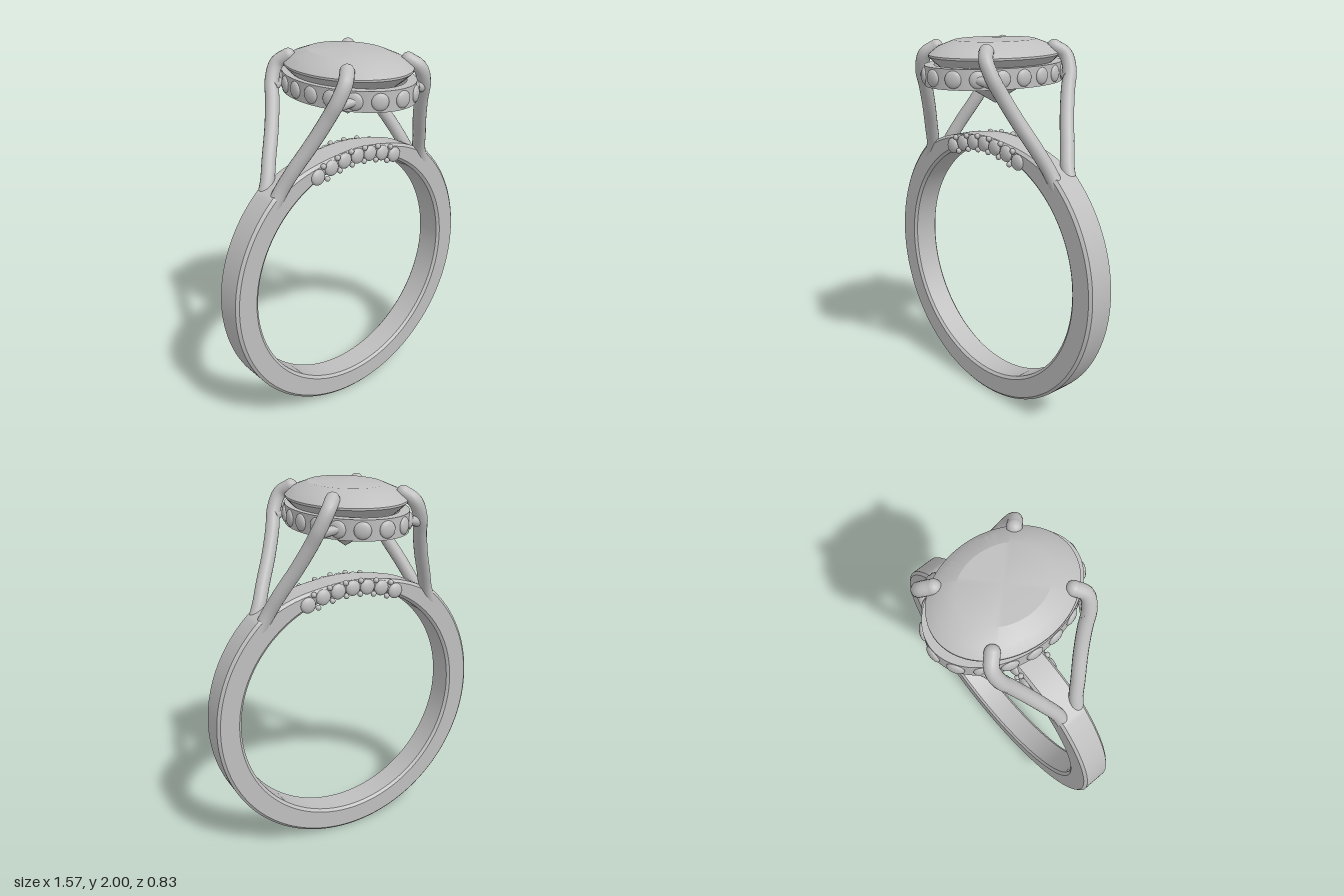
import * as THREE from 'three';
import { toCreasedNormals } from 'three/addons/utils/BufferGeometryUtils.js';

const metal = new THREE.MeshStandardMaterial({ color: 0xbfbfbf });
metal.name = 'silver grey';

const BAND_Y = 0.785;   // centre of the finger hole
const RX = 0.285, RZ = 0.4;   // halo half sizes

export function createModel() {
  const root = new THREE.Group();
  root.name = 'ring';

  const add = (parent, name, geometry, x = 0, y = 0, z = 0) => {
    const mesh = new THREE.Mesh(geometry, metal);
    mesh.name = name;
    mesh.position.set(x, y, z);
    parent.add(mesh);
    return mesh;
  };
  const group = (name) => {
    const g = new THREE.Group();
    g.name = name;
    root.add(g);
    return g;
  };

  // Band: round hoop with bevelled edges and a flatter bridge across the top
  const a = THREE.MathUtils.degToRad(47.5);
  const outline = new THREE.Shape();
  outline.absarc(0, 0, 0.77, a, Math.PI - a, true);
  outline.splineThru([[-0.36, 0.643], [-0.2, 0.682], [0, 0.702], [0.2, 0.682], [0.36, 0.643],
    [0.77 * Math.cos(a), 0.77 * Math.sin(a)]].map(([x, y]) => new THREE.Vector2(x, y)));
  const hole = new THREE.Path();
  hole.absarc(0, 0, 0.667, 0, Math.PI * 2, false);
  outline.holes.push(hole);
  const band = new THREE.ExtrudeGeometry(outline, {
    depth: 0.134, curveSegments: 80, bevelSize: 0.015, bevelThickness: 0.013, bevelSegments: 1,
  });
  band.translate(0, 0, -0.067);
  add(root, 'band', toCreasedNormals(band, 0.4), 0, BAND_Y, 0);

  // Small stones and beads set along both faces of the bridge
  const pave = group('bridgeStones');
  const stone = new THREE.SphereGeometry(0.042, 20, 12);
  const bead = new THREE.SphereGeometry(0.015, 10, 8);
  const arcY = (x) => 1.463 - 0.78 * x * x;
  for (const s of [-1, 1]) {
    for (let i = -3; i <= 3; i++) {
      const x = i * 0.087;
      add(pave, 'bridgeStone', stone, x, arcY(x), s * 0.08).scale.z = 0.5;
    }
    for (let i = -2.5; i <= 2.5; i++) {
      const x = i * 0.087;
      const tilt = 1.56 * x;
      for (const d of [-0.036, 0.036]) {
        add(pave, 'bridgeBead', bead, x + d * tilt, arcY(x) + d, s * 0.085);
      }
    }
  }

  // Large oval stone: pointed below, thin girdle, low crown with a flat top
  const profile = [[0, 1.67], [0.5, 1.775], [0.92, 1.89], [1, 1.917], [1, 1.927],
    [0.86, 1.965], [0.62, 1.995], [0, 2]].map(([r, y]) => new THREE.Vector2(r, y));
  const gem = new THREE.LatheGeometry(profile, 64);
  gem.scale(0.29, 1, 0.368);
  add(root, 'centreStone', toCreasedNormals(gem, 0.35));

  // Oval halo under the centre stone
  const halo = new THREE.Shape();
  halo.absellipse(0, 0, RX, RZ, 0, Math.PI * 2, false);
  const opening = new THREE.Path();
  opening.absellipse(0, 0, RX - 0.05, RZ - 0.05, 0, Math.PI * 2, true);
  halo.holes.push(opening);
  const haloGeo = new THREE.ExtrudeGeometry(halo, { depth: 0.1, curveSegments: 64, bevelEnabled: false });
  haloGeo.rotateX(-Math.PI / 2);
  add(root, 'halo', toCreasedNormals(haloGeo, 0.5), 0, 1.78, 0);

  // Evenly spaced stones around the halo, facing outwards
  const haloStones = group('haloStones');
  const oval = new THREE.EllipseCurve(0, 0, RX, RZ, Math.PI / 2, Math.PI * 2.5);
  const COUNT = 18;
  for (let i = 0; i < COUNT; i++) {
    const p = oval.getPointAt(i / COUNT);
    const m = add(haloStones, 'haloStone', stone, p.x, 1.83, p.y);
    m.rotation.y = Math.atan2(p.x / (RX * RX), p.y / (RZ * RZ));
    m.scale.z = 0.4;
  }

  // Four claws rising from the shoulders and hooking over the centre stone
  const R = 0.036;
  const path = [[0.53, 1.28, 0.04], [0.475, 1.39, 0.06], [0.425, 1.5, 0.105], [0.36, 1.63, 0.165],
    [0.31, 1.75, 0.22], [0.28, 1.84, 0.26], [0.24, 1.92, 0.268], [0.197, 1.958, 0.228]];
  const ball = new THREE.SphereGeometry(R, 16, 12);
  for (const sx of [-1, 1]) {
    for (const sz of [-1, 1]) {
      const claw = group((sz > 0 ? 'front' : 'back') + (sx > 0 ? 'Left' : 'Right') + 'Claw');
      const points = path.map(([x, y, z]) => new THREE.Vector3(sx * x, y, sz * z));
      add(claw, 'arm', new THREE.TubeGeometry(new THREE.CatmullRomCurve3(points), 48, R, 16));
      const tip = points[points.length - 1];
      add(claw, 'tip', ball, tip.x, tip.y, tip.z);
      add(claw, 'foot', ball, points[0].x, points[0].y, points[0].z);

      // Short peg joining the arm to the halo
      const from = new THREE.Vector3(sx * 0.295, 1.81, sz * 0.24);
      const to = new THREE.Vector3(sx * 0.2, 1.83, sz * 0.285);
      const peg = add(claw, 'peg', new THREE.CylinderGeometry(0.02, 0.032, from.distanceTo(to), 14));
      peg.position.lerpVectors(from, to, 0.5);
      peg.quaternion.setFromUnitVectors(new THREE.Vector3(0, 1, 0), to.clone().sub(from).normalize());
    }
  }

  return root;
}
